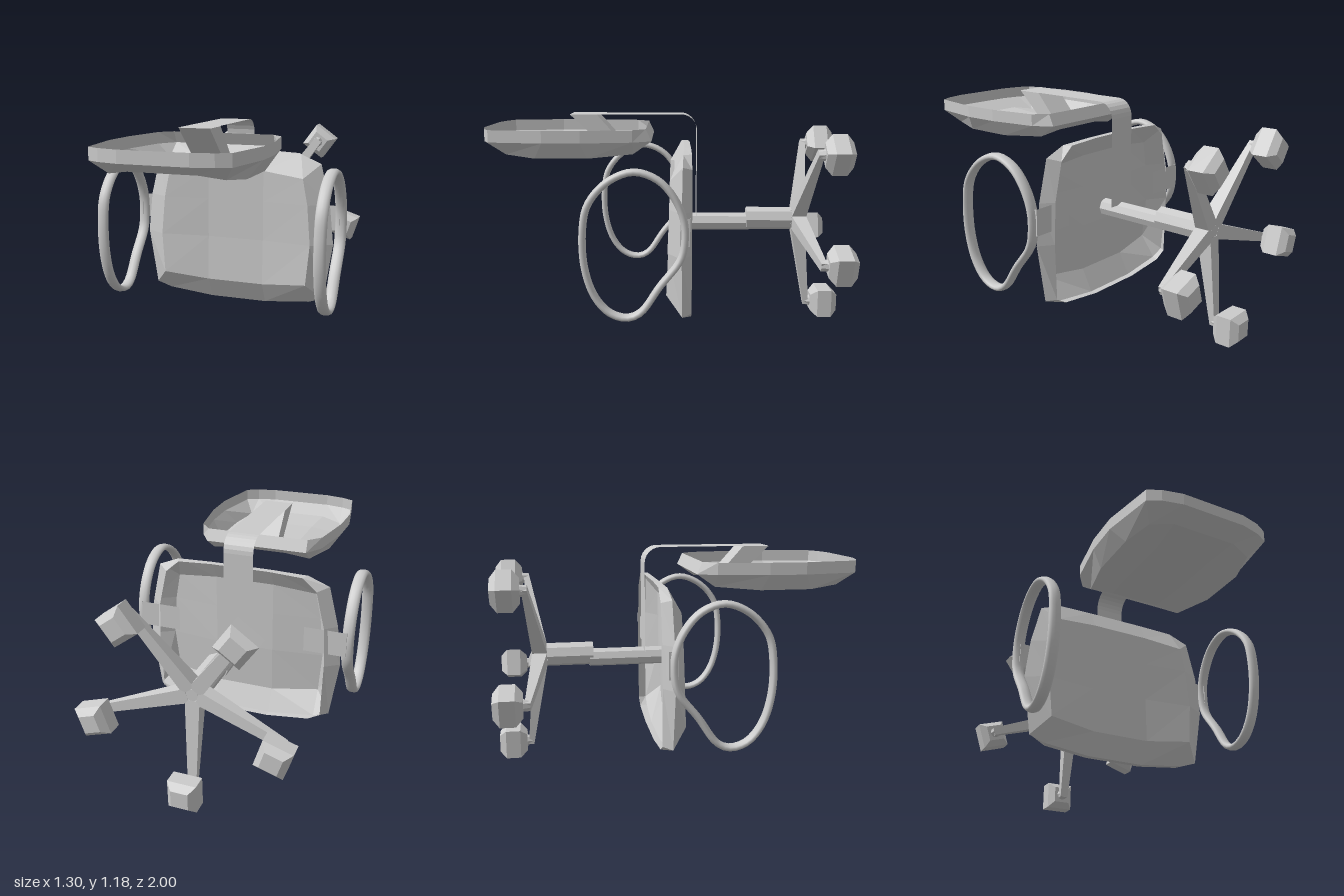
import * as THREE from 'three';

const flat = new THREE.MeshStandardMaterial({ color: 0xcccccc, flatShading: true, side: THREE.DoubleSide });
const smooth = new THREE.MeshStandardMaterial({ color: 0xcccccc });

function add(parent, name, geometry, material = flat) {
  const mesh = new THREE.Mesh(geometry, material);
  mesh.name = name;
  parent.add(mesh);
  return mesh;
}

// Open cushion shell: half rings (bottom to top) are mirrored, skirted together and capped by a dished grid
function shell(rings, innerX, innerZ) {
  const pos = [], index = [];
  const n = rings[0].length * 2;
  for (const half of rings) {
    const mirrored = half.map(([x, y, z]) => [-x, y, z]).reverse();
    for (const p of [...half, ...mirrored]) pos.push(...p);
  }
  const quad = (a, b, c, d) => index.push(a, b, c, a, c, d);
  for (let r = 0; r < rings.length - 1; r++) {
    for (let i = 0; i < n; i++) {
      const j = (i + 1) % n;
      quad(r * n + i, r * n + j, (r + 1) * n + j, (r + 1) * n + i);
    }
  }
  const cap = rings[rings.length - 1];
  const rows = [[cap[0], cap[1]], [null, cap[3]], [null, cap[4]], [cap[7], cap[5]]].map(([inner, outer]) => {
    const mid = inner || [innerX, outer[1], innerZ];
    const start = pos.length / 3;
    pos.push(-outer[0], outer[1], outer[2], -mid[0], mid[1], mid[2], ...mid, ...outer);
    return start;
  });
  for (let r = 0; r < 3; r++) {
    for (let c = 0; c < 3; c++) quad(rows[r] + c, rows[r] + c + 1, rows[r + 1] + c + 1, rows[r + 1] + c);
  }
  const g = new THREE.BufferGeometry();
  g.setAttribute('position', new THREE.Float32BufferAttribute(pos, 3));
  g.setIndex(index);
  g.computeVertexNormals();
  return g;
}

// Flat band of constant width following a (z, y) profile
function strip(profile, x0, x1) {
  const g = new THREE.PlaneGeometry(1, 1, 1, profile.length - 1);
  const p = g.attributes.position;
  profile.forEach(([z, y], i) => {
    p.setXYZ(2 * i, x0, y, z);
    p.setXYZ(2 * i + 1, x1, y, z);
  });
  g.computeVertexNormals();
  return g;
}

// Tapered leg running down -y from the hub
function legGeometry() {
  const g = new THREE.BoxGeometry(1, 1, 1);
  const p = g.attributes.position;
  for (let i = 0; i < p.count; i++) {
    const outer = p.getY(i) < 0;
    const z = p.getZ(i) > 0 ? (outer ? -0.81 : -0.715) : (outer ? -0.84 : -0.8);
    p.setXYZ(i, Math.sign(p.getX(i)) * (outer ? 0.024 : 0.04), outer ? -0.52 : -0.03, z);
  }
  return g;
}

export function createModel() {
  const model = new THREE.Group();
  model.name = 'officeChair';

  // Seat
  add(model, 'seat', shell([
    [[0.17, 0.1, -0.135], [0.42, 0.13, -0.135], [0.49, 0.17, -0.135], [0.5, 0.49, -0.135],
      [0.49, 0.72, -0.135], [0.44, 0.93, -0.135], [0.36, 1.0, -0.135], [0.17, 1.01, -0.135]],
    [[0.17, 0.1, -0.1], [0.44, 0.13, -0.09], [0.53, 0.16, -0.085], [0.58, 0.49, -0.08],
      [0.555, 0.72, -0.08], [0.5, 0.95, -0.085], [0.38, 1.0, -0.09], [0.17, 1.01, -0.1]],
    [[0.17, 0.225, -0.035], [0.44, 0.255, 0], [0.44, 0.255, 0], [0.46, 0.49, -0.01],
      [0.44, 0.72, -0.015], [0.41, 0.87, -0.02], [0.41, 0.87, -0.02], [0.17, 0.9, -0.045]],
  ], 0.17, -0.045));

  // Backrest, same kind of shell turned to face down
  const outline = [[0.15, 0.08], [0.295, 0.08], [0.36, 0.18], [0.405, 0.45],
    [0.41, 0.65], [0.36, 0.94], [0.29, 0.975], [0.18, 1.0]];
  const back = add(model, 'backrest', shell([
    outline.map(([x, y]) => [x, y + (y < 0.1 ? 0.03 : 0), -1.125]),
    outline.map(([x, y]) => [x, y, -1.06]),
    [[0.15, 0.17, -1.01], [0.29, 0.18, -0.99], [0.29, 0.18, -0.99], [0.345, 0.42, -0.973],
      [0.345, 0.7, -0.973], [0.3, 0.86, -0.99], [0.3, 0.86, -0.99], [0.18, 0.9, -1.01]],
  ], 0.16, -1.0));
  back.rotation.x = Math.PI / 2;
  back.position.x = -0.02;

  // Bent band joining seat and backrest
  const bend = [[-0.17, 0.6]];
  for (let i = 0; i <= 6; i++) {
    const a = (i / 6) * Math.PI / 2;
    bend.push([-0.08 - 0.09 * Math.cos(a), 1.1 + 0.09 * Math.sin(a)]);
  }
  bend.push([0.54, 1.19]);
  add(model, 'backSupport', strip(bend, -0.095, 0.075));
  const wedge = new THREE.Shape([[0.54, 1.188], [0.39, 1.188], [0.24, 1.02], [0.36, 1.02]]
    .map(([z, y]) => new THREE.Vector2(z, y)));
  const foot = add(model, 'backSupportEnd', new THREE.ExtrudeGeometry(wedge, { depth: 0.17, bevelEnabled: false }));
  foot.rotation.y = -Math.PI / 2;
  foot.position.x = 0.075;

  // Armrest hoops and their brackets
  const hoop = new THREE.CatmullRomCurve3([
    [0.16, 0.945], [0.29, 0.895], [0.39, 0.78], [0.418, 0.65], [0.412, 0.46], [0.365, 0.31], [0.29, 0.22],
    [0.2, 0.192], [0.13, 0.22], [0.03, 0.36], [-0.07, 0.49], [-0.092, 0.56], [-0.092, 0.69], [-0.045, 0.81], [0.04, 0.905],
  ].map(([z, y]) => new THREE.Vector3(0, y, z)), true);
  const hoopGeometry = new THREE.TubeGeometry(hoop, 64, 0.019, 12, true).scale(1.75, 1, 1);
  for (const side of [-1, 1]) {
    add(model, 'armrest', hoopGeometry, smooth).position.x = side * 0.618;
    const plate = add(model, 'armrestBracket', new THREE.PlaneGeometry(0.24, 0.145));
    plate.position.set(side * 0.495, 0.637, -0.122);
    const tab = add(model, 'armrestTab', new THREE.PlaneGeometry(0.05, 0.145));
    tab.rotation.y = Math.PI / 2;
    tab.position.set(side * 0.615, 0.637, -0.097);
  }

  // Two-stage column
  const column = (name, radius, z0, z1, x, y) => {
    const g = new THREE.CylinderGeometry(radius, radius, z0 - z1, 8).rotateX(Math.PI / 2);
    add(model, name, g).position.set(x, y, (z0 + z1) / 2);
  };
  column('innerColumn', 0.051, -0.05, -0.48, -0.013, 0.563);
  column('outerColumn', 0.066, -0.46, -0.73, 0, 0.585);

  // Five-legged base with casters
  const base = new THREE.Group();
  base.name = 'base';
  base.position.y = 0.585;
  model.add(base);
  const hub = add(base, 'hub', new THREE.CylinderGeometry(0.066, 0.04, 0.085, 5).rotateX(Math.PI / 2));
  hub.position.z = -0.757;
  const leg = legGeometry();
  const s = Math.SQRT2;
  const caster = new THREE.LatheGeometry(
    [[0, -1], [0.047 * s, -1], [0.079 * s, -0.965], [0.079 * s, -0.885], [0.047 * s, -0.847], [0, -0.847]]
      .map(([r, h]) => new THREE.Vector2(r, h)), 4).rotateY(Math.PI / 4).rotateX(Math.PI / 2);
  const neck = new THREE.CylinderGeometry(0.024, 0.035, 0.05, 8).rotateX(Math.PI / 2);
  for (let i = 0; i < 5; i++) {
    const arm = new THREE.Group();
    arm.name = 'baseLeg';
    arm.rotation.z = (i / 5) * Math.PI * 2;
    add(arm, 'leg', leg);
    add(arm, 'caster', caster).position.y = -0.5;
    add(arm, 'casterNeck', neck).position.set(0, -0.5, -0.835);
    base.add(arm);
  }
  return model;
}
